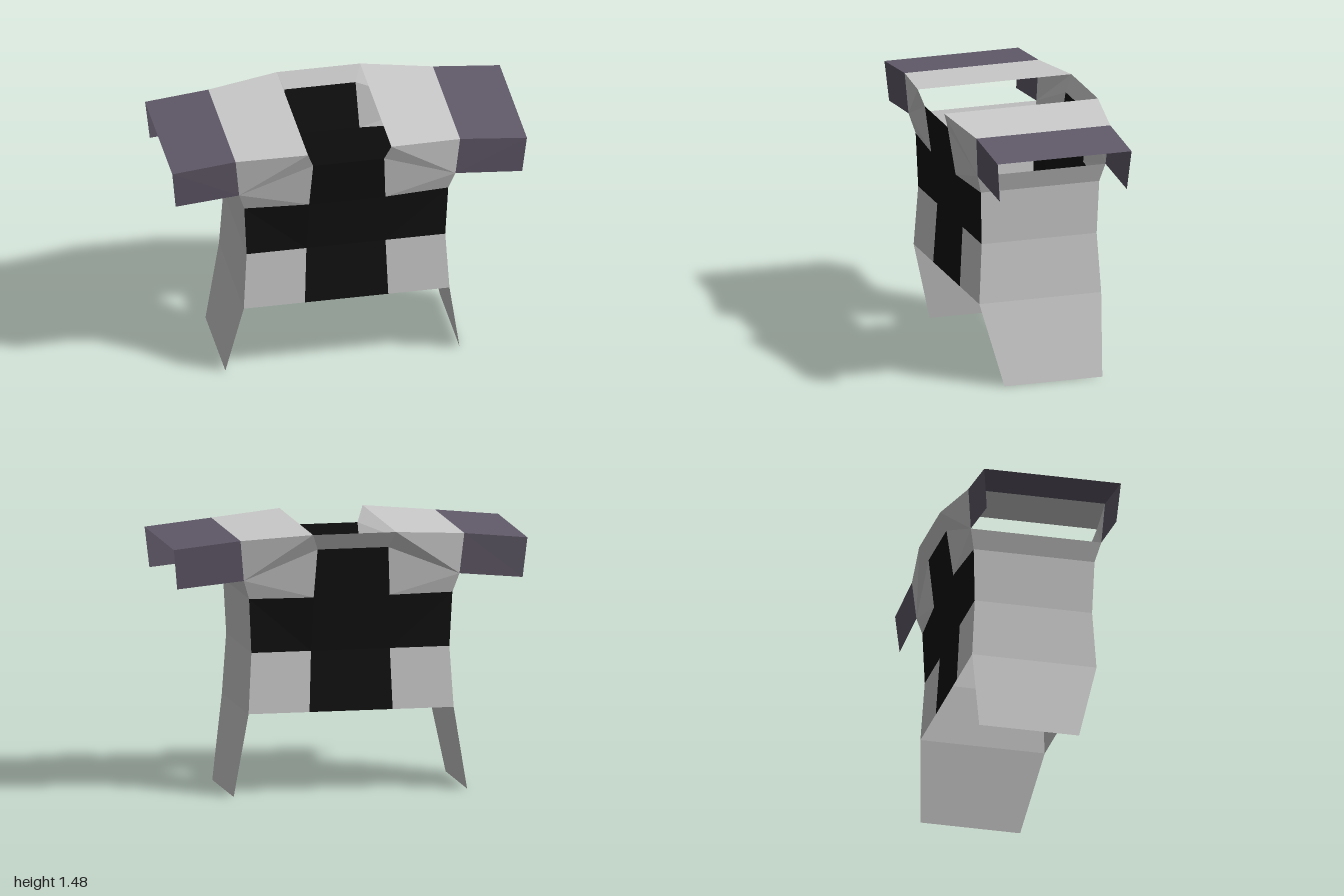
import * as THREE from 'three';

const material = (color) => new THREE.MeshStandardMaterial({ color, flatShading: true, side: THREE.DoubleSide });

// Mesh from quads [a, b, c, d] (split along a-c); flip reverses the winding for mirrored copies
function quadMesh(name, mat, quads, flip = false) {
  const pos = [];
  for (const [a, b, c, d] of quads) {
    const corners = flip ? [a, c, b, a, d, c] : [a, b, c, a, c, d];
    for (const p of corners) pos.push(...p);
  }
  const geo = new THREE.BufferGeometry();
  geo.setAttribute('position', new THREE.Float32BufferAttribute(pos, 3));
  geo.computeVertexNormals();
  const mesh = new THREE.Mesh(geo, mat);
  mesh.name = name;
  return mesh;
}

// Quads between two edges with the same number of points
const strip = (e1, e2) => e1.slice(1).map((p, i) => [e1[i], e2[i], e2[i + 1], p]);

// Half-width, height, front z, back z of the side edges, from hem tip to shoulder seam
const SIDE = [
  [0.66, 0, 0.235, -0.335],
  [0.58, 0.465, 0.355, -0.355],
  [0.56, 0.805, 0.335, -0.335],
  [0.575, 1.11, 0.345, -0.345],
  [0.61, 1.217, 0.375, -0.37],
  [0.633, 1.445, 0.39, -0.39],
];
// The same for the edges of the central band, from hem to neck
const BAND = [
  [0.235, 0.465, 0.355, -0.355],
  [0.223, 0.805, 0.335, -0.335],
  [0.215, 1.11, 0.373, -0.37],
  [0.2, 1.385, 0.415, -0.405],
  [0.235, 1.475, 0.445, -0.45],
];
const CENTRE = -0.01;

// Edge points on the chosen side (s = +1 left, -1 right) and face (f = +1 front, -1 back)
const edge = (rows, s, f) => rows.map(([x, y, front, back]) => [CENTRE + s * x, y, f > 0 ? front : back]);

export function createModel() {
  const cloth = material(0xcccccc);
  const black = material(0x111111);
  const purple = material(0x615a69);
  const group = new THREE.Group();
  group.name = 'tunic';

  for (const f of [1, -1]) {
    const face = f > 0 ? 'front' : 'back';
    const l = edge(BAND, 1, f), r = edge(BAND, -1, f);

    // Central vertical band
    group.add(quadMesh(face + 'Band', black, strip(r.slice(0, 4), l.slice(0, 4)), f < 0));
    // Collar on the back only; the front neckline is cut lower
    if (f < 0) group.add(quadMesh('backCollar', cloth, strip(r.slice(3), l.slice(3)), true));

    for (const s of [1, -1]) {
      const side = s > 0 ? 'Left' : 'Right';
      const b = edge(BAND, s, f), e = edge(SIDE, s, f);
      const flip = s * f < 0;
      // Lower grey panel, horizontal black arm, grey chest
      group.add(quadMesh(face + side + 'Skirt', cloth, [[b[0], e[1], e[2], b[1]]], flip));
      group.add(quadMesh(face + side + 'CrossArm', black, [[b[1], e[2], e[3], b[2]]], flip));
      group.add(quadMesh(face + side + 'Chest', cloth, [
        [b[2], e[3], e[4], b[3]],
        [b[4], b[3], e[4], e[5]],
      ], flip));
    }
  }

  for (const s of [1, -1]) {
    const side = s > 0 ? 'left' : 'right';
    const ef = edge(SIDE, s, 1), eb = edge(SIDE, s, -1);
    const nf = edge(BAND, s, 1)[4], nb = edge(BAND, s, -1)[4];
    const flip = s < 0;

    // Side panel with its long hanging tip
    group.add(quadMesh(side + 'SidePanel', cloth, strip(ef.slice(0, 5), eb.slice(0, 5)), flip));
    // Shoulder top
    group.add(quadMesh(side + 'Shoulder', cloth, [[nf, ef[5], eb[5], nb]], flip));

    // Sleeve, open below and at the end: front, top, back
    const inner = [ef[4], ef[5], eb[5], eb[4]];
    const outer = [
      [s * 0.977, 1.183, 0.37],
      [s, 1.408, 0.39],
      [s, 1.408, -0.39],
      [s * 0.977, 1.183, -0.37],
    ];
    group.add(quadMesh(side + 'Sleeve', purple, strip(inner, outer), flip));
  }
  return group;
}
